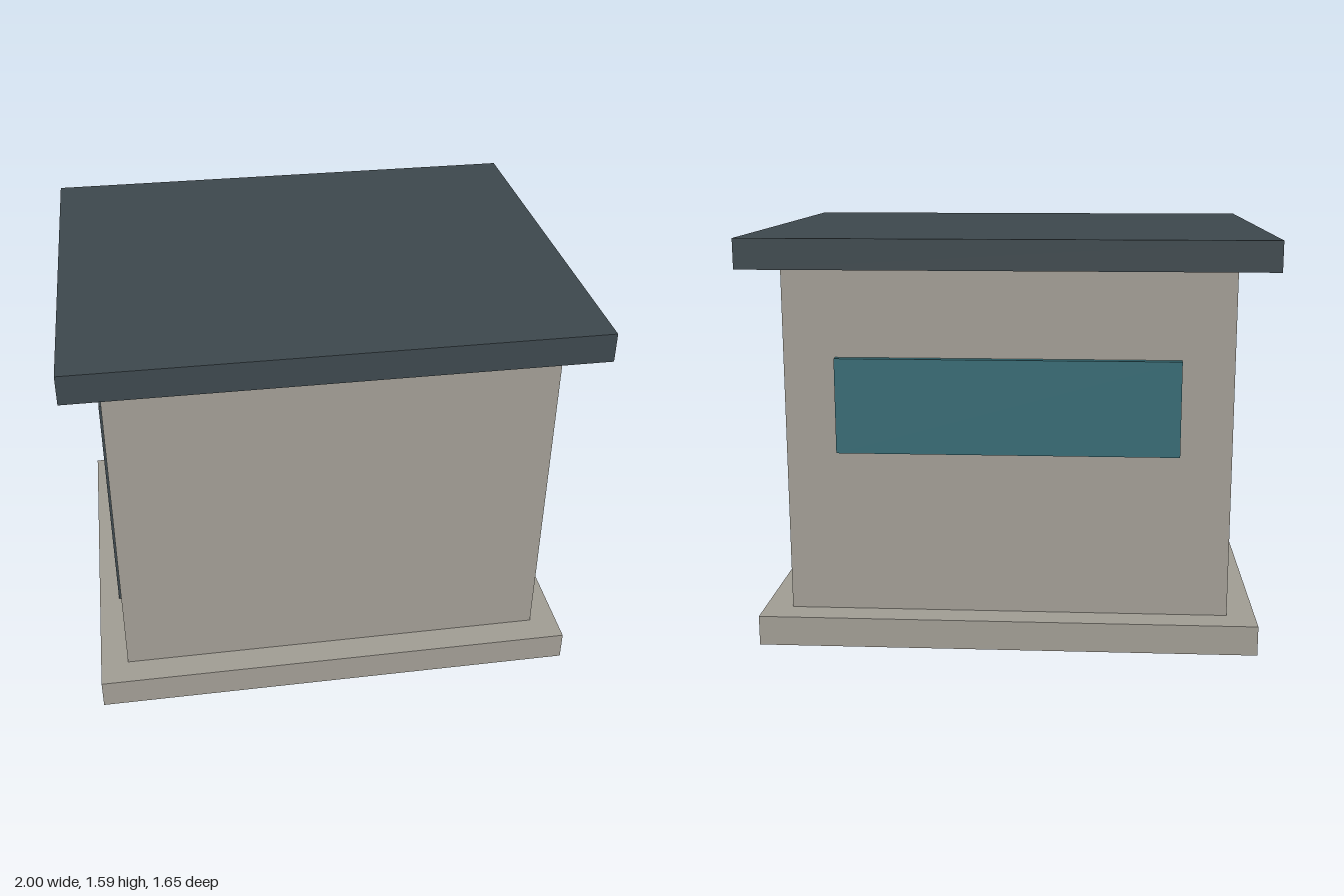
import * as THREE from 'three';

const material = (name, color) => {
  const m = new THREE.MeshStandardMaterial({ color });
  m.name = name;
  return m;
};

export function createModel() {
  const group = new THREE.Group();
  group.name = 'hut';
  const stone = material('warm grey concrete', 0xa19d94);
  const slate = material('dark slate', 0x3d484d);
  const glass = material('teal glass', 0x376b74);

  // Box given by its lower and upper corners
  const box = (name, mat, [x0, y0, z0], [x1, y1, z1]) => {
    const mesh = new THREE.Mesh(new THREE.BoxGeometry(x1 - x0, y1 - y0, z1 - z0), mat);
    mesh.position.set((x0 + x1) / 2, (y0 + y1) / 2, (z0 + z1) / 2);
    mesh.name = name;
    group.add(mesh);
  };

  box('foundation', stone, [-0.97, 0, -0.8], [0.97, 0.117, 0.8]);
  box('walls', stone, [-0.86, 0.117, -0.687], [0.86, 1.477, 0.687]);
  box('roof', slate, [-1, 1.477, -0.827], [1, 1.592, 0.827]);
  // Door on the right side, wide window on the back
  box('door', slate, [-0.887, 0.117, -0.285], [-0.86, 1.12, 0.285]);
  box('window', glass, [-0.66, 0.76, -0.72], [0.66, 1.13, -0.687]);
  return group;
}
